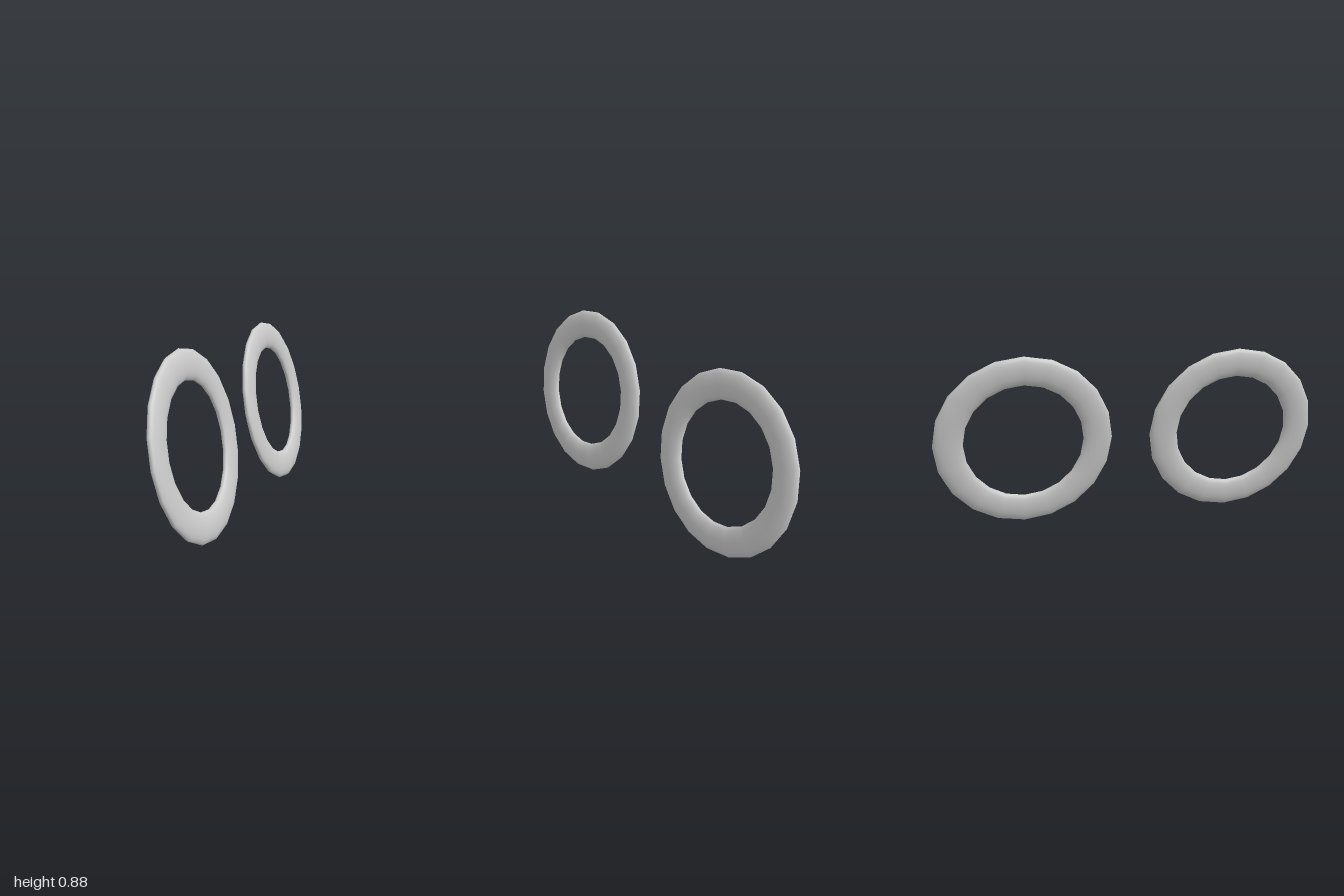
import * as THREE from 'three';

const RING_RADIUS = 0.376;
const TUBE_RADIUS = 0.074;
const HALF_THICKNESS = 0.025;
const TILT = THREE.MathUtils.degToRad(11);

export function createModel() {
  const group = new THREE.Group();
  group.name = 'ringPair';
  const material = new THREE.MeshStandardMaterial({ color: 0xcccccc });

  // Flattened 20-sided ring, axis along x, its top leaning towards -x
  const geometry = new THREE.TorusGeometry(RING_RADIUS, TUBE_RADIUS, 16, 20);
  geometry.rotateY(Math.PI / 2);
  geometry.scale(HALF_THICKNESS / TUBE_RADIUS, 1, 1);
  geometry.rotateZ(TILT);

  // One ring in front, one behind, in the same tilted plane
  for (const [name, z] of [['frontRing', 0.55], ['backRing', -0.55]]) {
    const ring = new THREE.Mesh(geometry, material);
    ring.name = name;
    ring.position.set(0, 0.443, z);
    group.add(ring);
  }
  return group;
}
